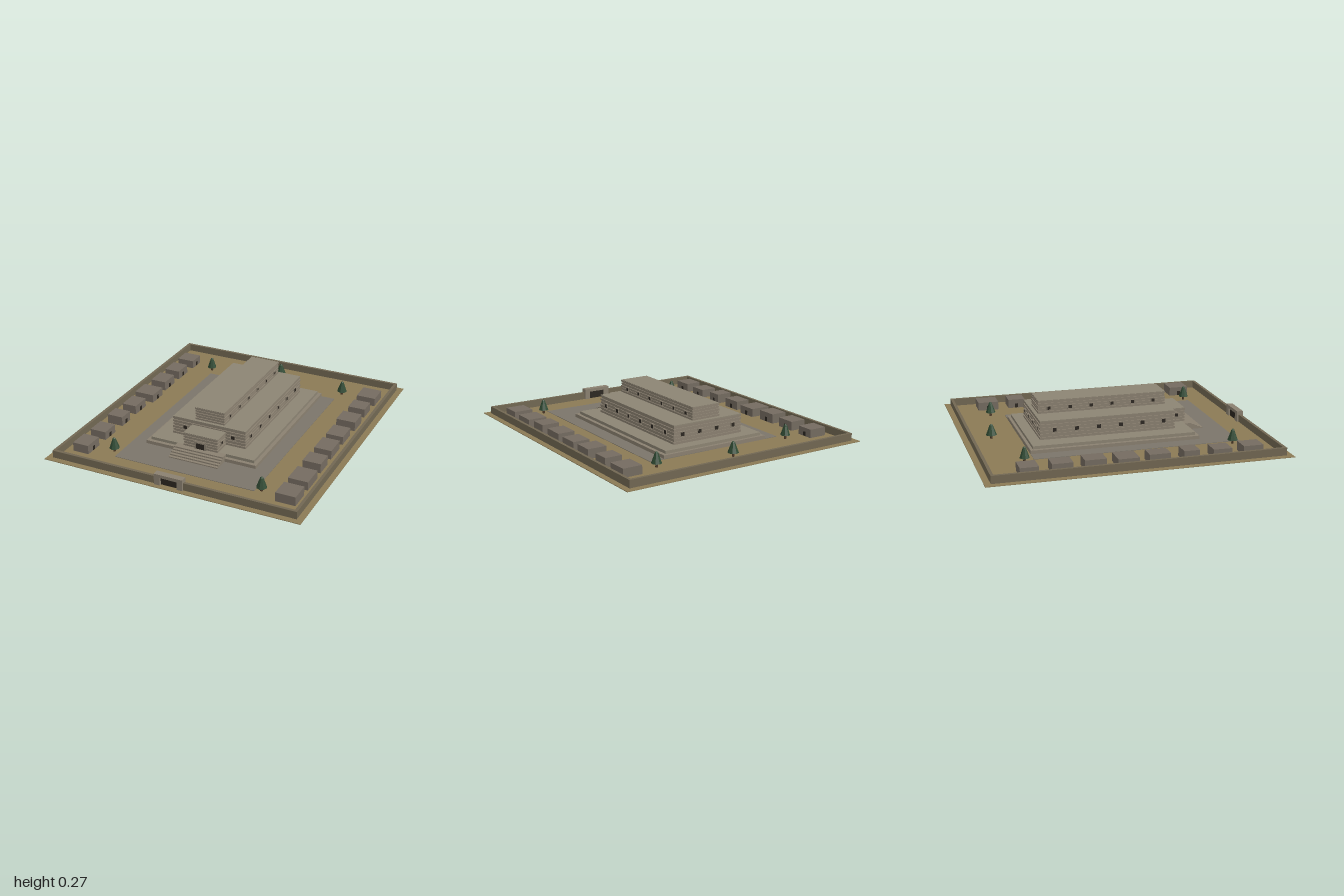
import * as THREE from 'three';

const mat = (color) => new THREE.MeshStandardMaterial({ color, flatShading: true });
const M = {
  earth: mat(0x8b7a55), paving: mat(0x7b756a), stone: mat(0x8a8070), roof: mat(0x8c8473),
  wall: mat(0x716752), house: mat(0x746b60), dark: mat(0x2b2620),
  leaf: mat(0x2f4a33), bark: mat(0x4a3826),
};

// Box given by its limits on each axis
function block(parent, name, material, x0, x1, y0, y1, z0, z1) {
  const mesh = new THREE.Mesh(new THREE.BoxGeometry(x1 - x0, y1 - y0, z1 - z0), material);
  mesh.position.set((x0 + x1) / 2, (y0 + y1) / 2, (z0 + z1) / 2);
  mesh.name = name;
  parent.add(mesh);
  return mesh;
}

// Masonry volume: core, protruding stone courses and a flat roof
function coursedVolume(name, hx, y0, y1, z0, z1, courses) {
  const g = new THREE.Group();
  g.name = name;
  const inset = 0.007, pitch = (y1 - y0) / courses;
  block(g, 'core', M.stone, -hx + inset, hx - inset, y0, y1 - 0.002, z0 + inset, z1 - inset);
  for (let i = 0; i < courses; i++) {
    const y = y0 + i * pitch, e = i % 2 ? 0.002 : 0;
    block(g, 'course', M.stone, -hx + e, hx - e, y + pitch * 0.2, y + pitch * 0.85, z0 + e, z1 - e);
  }
  block(g, 'roof', M.roof, -hx + 0.002, hx - 0.002, y1 - 0.008, y1, z0 + 0.002, z1 - 0.002);
  return g;
}

// Window facing +z: dark pane, frame posts, lintel and sill
function windowUnit(w, h) {
  const g = new THREE.Group();
  g.name = 'window';
  block(g, 'pane', M.dark, -w / 2, w / 2, -h / 2, h / 2, -0.004, 0.002);
  for (const s of [-1, 1]) {
    const x = s * (w / 2 + 0.002);
    block(g, 'post', M.stone, x - 0.002, x + 0.002, -h / 2, h / 2, -0.004, 0.003);
  }
  block(g, 'lintel', M.stone, -w / 2 - 0.006, w / 2 + 0.006, h / 2, h / 2 + 0.005, -0.004, 0.005);
  block(g, 'sill', M.stone, -w / 2 - 0.006, w / 2 + 0.006, -h / 2 - 0.004, -h / 2, -0.004, 0.005);
  return g;
}

function placeWindow(parent, x, y, z, turn, size = 0.026) {
  const win = windowUnit(size, size);
  win.position.set(x, y, z);
  win.rotation.y = turn;
  parent.add(win);
}

function createTemple() {
  const g = new THREE.Group();
  g.name = 'temple';
  block(g, 'lowerPodium', M.stone, -0.4, 0.4, 0, 0.03, -0.62, 0.535);
  block(g, 'upperPodium', M.roof, -0.375, 0.375, 0.03, 0.05, -0.6, 0.51);

  // Front stairs
  for (let i = 0; i < 5; i++)
    block(g, 'stair', M.stone, -0.178, 0.178, 0, 0.05 - i * 0.009, 0.51, 0.56 + i * 0.02);

  // Main hall, raised clerestory and porch
  g.add(coursedVolume('mainHall', 0.268, 0.05, 0.18, -0.53, 0.405, 6));
  g.add(coursedVolume('clerestory', 0.107, 0.18, 0.272, -0.505, 0.387, 5));
  g.add(coursedVolume('porch', 0.125, 0.05, 0.148, 0.4, 0.527, 5));

  // Porch door
  block(g, 'door', M.dark, -0.03, 0.03, 0.05, 0.092, 0.51, 0.529);
  block(g, 'doorLintel', M.stone, -0.042, 0.042, 0.092, 0.102, 0.51, 0.533);
  for (const s of [-1, 1])
    block(g, 'doorPost', M.stone, s * 0.036 - 0.006, s * 0.036 + 0.006, 0.05, 0.092, 0.51, 0.532);

  // Window rows along both long sides
  for (const s of [-1, 1]) {
    const turn = s * Math.PI / 2;
    for (let i = 0; i < 6; i++) {
      placeWindow(g, s * 0.268, 0.115, 0.325 - i * 0.151, turn);
      placeWindow(g, s * 0.107, 0.217, 0.3 - i * 0.146, turn, 0.022);
    }
    placeWindow(g, s * 0.175, 0.117, 0.405, 0);
    placeWindow(g, s * 0.125, 0.1, 0.465, turn, 0.022);
  }
  for (const x of [-0.2, -0.067, 0.067, 0.2]) placeWindow(g, x, 0.115, -0.53, Math.PI);
  return g;
}

function createEnclosure() {
  const g = new THREE.Group();
  g.name = 'enclosure';
  const h = 0.055, x0 = 0.84, x1 = 0.86, zb = -0.96, zf = 0.96;
  for (const s of [-1, 1]) {
    block(g, 'sideWall', M.wall, Math.min(s * x0, s * x1), Math.max(s * x0, s * x1), 0, h, zb, zf);
    // Front wall halves leave room for the gate
    block(g, 'frontWall', M.wall, s > 0 ? 0.08 : -x0, s > 0 ? x0 : -0.08, 0, h, zf - 0.02, zf);
    block(g, 'gatePost', M.stone, s * 0.08 - 0.02, s * 0.08 + 0.02, 0, 0.062, 0.928, 0.972);
  }
  block(g, 'backWall', M.wall, -x0, x0, 0, h, zb, zb + 0.02);
  block(g, 'gateLintel', M.stone, -0.1, 0.1, 0.058, 0.08, 0.928, 0.972);
  block(g, 'gateDoor', M.dark, -0.06, 0.06, 0, 0.058, 0.94, 0.955);
  return g;
}

// Row of flat-roofed houses with doors toward the court; sizes are [width, depth]
function createHouses(side, sizes) {
  const g = new THREE.Group();
  g.name = side > 0 ? 'leftHouses' : 'rightHouses';
  sizes.forEach(([w, d], i) => {
    const x = side * 0.73, z = -0.71 + i * 0.21, h = 0.062 + (i % 3) * 0.004;
    block(g, 'house', M.house, x - w / 2, x + w / 2, 0, h, z - d / 2, z + d / 2);
    const face = x - side * w / 2;
    block(g, 'houseDoor', M.dark, face - 0.002, face + 0.002, 0.006, 0.036, z - 0.011, z + 0.011);
  });
  return g;
}

function createTree(x, z, r) {
  const g = new THREE.Group();
  g.name = 'tree';
  const trunk = new THREE.Mesh(new THREE.CylinderGeometry(0.007, 0.009, 0.04, 6), M.bark);
  trunk.position.y = 0.02;
  trunk.name = 'trunk';
  const crown = new THREE.Mesh(new THREE.CylinderGeometry(r * 0.3, r, 0.068, 8), M.leaf);
  crown.position.y = 0.064;
  crown.name = 'crown';
  const tip = new THREE.Mesh(new THREE.ConeGeometry(r * 0.3, 0.01, 8), M.leaf);
  tip.position.y = 0.103;
  tip.name = 'crownTip';
  g.add(trunk, crown, tip);
  g.position.set(x, 0, z);
  return g;
}

export function createModel() {
  const model = new THREE.Group();
  model.name = 'templeCompound';
  block(model, 'ground', M.earth, -0.9, 0.9, 0, 0.004, -1, 1);
  block(model, 'court', M.paving, -0.5, 0.5, 0.001, 0.007, -0.62, 0.78);
  model.add(createEnclosure(), createTemple());

  model.add(createHouses(-1, [[0.127, 0.12], [0.115, 0.135], [0.115, 0.14], [0.145, 0.14],
    [0.105, 0.14], [0.115, 0.105], [0.115, 0.125], [0.115, 0.135]]));
  model.add(createHouses(1, [[0.135, 0.145], [0.12, 0.12], [0.135, 0.135], [0.12, 0.145],
    [0.12, 0.155], [0.125, 0.125], [0.135, 0.16], [0.135, 0.14]]));

  for (const [x, z, r] of [[-0.52, -0.685, 0.033], [0, -0.805, 0.037], [0.52, -0.72, 0.035],
    [-0.54, 0.715, 0.035], [0.54, 0.755, 0.035]]) model.add(createTree(x, z, r));
  return model;
}
